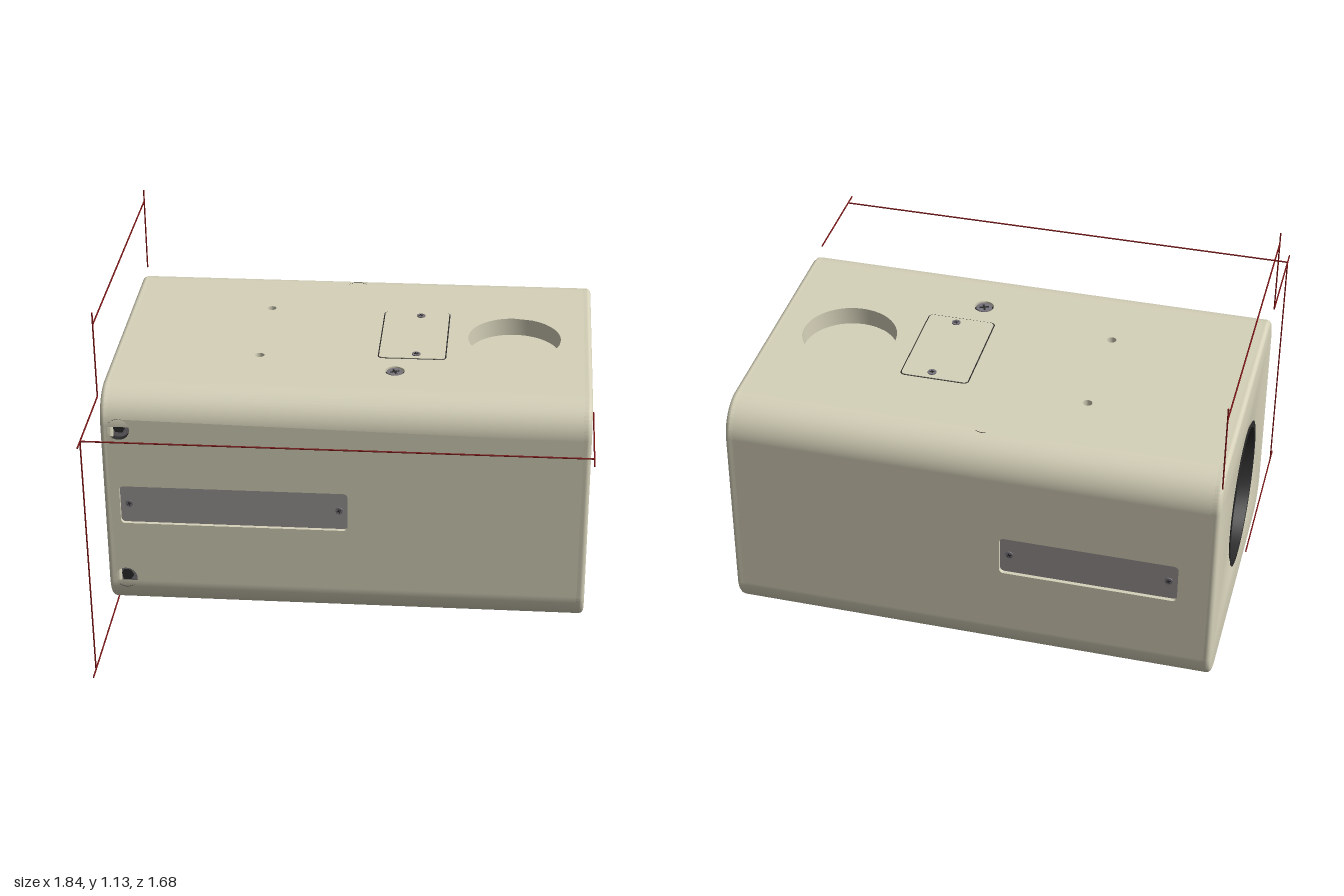
import * as THREE from 'three';
import { toCreasedNormals } from 'three/addons/utils/BufferGeometryUtils.js';

const HX = 0.775, HY = 0.395, HZ = 0.495, R = 0.11; // half sizes and edge radius
const mat = (color) => new THREE.MeshStandardMaterial({ color, side: THREE.DoubleSide });
const shell = mat(0xd6d2ba), cover = mat(0x9a9494), metal = mat(0x77737a);
const dark = mat(0x2b2b2b), glass = mat(0x8c8c8c), red = mat(0x7a1414);

function add(parent, name, geometry, material, x = 0, y = 0, z = 0) {
  const mesh = new THREE.Mesh(geometry, material);
  mesh.name = name;
  mesh.position.set(x, y, z);
  parent.add(mesh);
  return mesh;
}

function roundRect(w, h, r, cx = 0, cy = 0) {
  const s = new THREE.Shape(), a = w / 2 - r, b = h / 2 - r;
  s.absarc(cx + a, cy + b, r, 0, Math.PI / 2);
  s.absarc(cx - a, cy + b, r, Math.PI / 2, Math.PI);
  s.absarc(cx - a, cy - b, r, Math.PI, Math.PI * 1.5);
  s.absarc(cx + a, cy - b, r, Math.PI * 1.5, Math.PI * 2);
  s.closePath();
  return s;
}

function circle(r, cx, cy) {
  return new THREE.Shape().absarc(cx, cy, r, 0, Math.PI * 2);
}

// Recess: a wall following the outline, and a floor
function pocket(face, name, outline, depth, floorMat, wallMat = shell) {
  const pts = outline.getPoints(24), n = pts.length;
  const wall = new THREE.PlaneGeometry(1, 1, n, 1), p = wall.attributes.position;
  for (let i = 0; i <= n; i++) {
    const q = pts[i % n];
    p.setXYZ(i, q.x, q.y, 0);
    p.setXYZ(i + n + 1, q.x, q.y, -depth);
  }
  wall.computeVertexNormals();
  add(face, name + 'Wall', wall, wallMat);
  add(face, name + 'Floor', new THREE.ShapeGeometry(outline, 24), floorMat, 0, 0, -depth);
}

// Flat side of the shell in its own frame: z points outward
function makeFace(body, name, w, h, rotX, rotY, dist, pockets) {
  const face = new THREE.Group();
  face.name = name;
  face.rotation.set(rotX, rotY, 0);
  face.translateZ(dist);
  body.add(face);
  const sheet = new THREE.Shape([[-1, -1], [1, -1], [1, 1], [-1, 1]]
    .map(([x, y]) => new THREE.Vector2(x * w / 2, y * h / 2)));
  for (const [label, outline, depth, floorMat, wallMat] of pockets) {
    sheet.holes.push(outline);
    pocket(face, label, outline, depth, floorMat, wallMat);
  }
  add(face, name + 'Sheet', new THREE.ShapeGeometry(sheet, 24), shell);
  return face;
}

function screw(face, x, y, z, r) {
  const disc = new THREE.CylinderGeometry(r, r, 0.008, 20).rotateX(Math.PI / 2);
  add(face, 'screwHead', disc, metal, x, y, z);
  for (const a of [0, Math.PI / 2])
    add(face, 'screwSlot', new THREE.BoxGeometry(r * 1.2, r * 0.25, 0.002), dark, x, y, z + 0.004).rotation.z = a + 0.4;
}

// Small hatch with two screws, and a larger screw beyond each end
function hatch(face) {
  add(face, 'hatchSeam', new THREE.ShapeGeometry(roundRect(0.222, 0.352, 0.017, 0.194, 0)), dark, 0, 0, 0.001);
  add(face, 'hatchCover', new THREE.ExtrudeGeometry(roundRect(0.214, 0.344, 0.014, 0.194, 0),
    { depth: 0.003, bevelEnabled: false }), shell);
  for (const s of [-1, 1]) {
    screw(face, 0.207, s * 0.144, 0.002, 0.014);
    screw(face, 0.145, s * 0.263, -0.006, 0.026);
  }
}

function rod(parent, a, b) {
  const p = new THREE.Vector3(...a), q = new THREE.Vector3(...b);
  const m = add(parent, 'dimensionLine', new THREE.CylinderGeometry(0.0025, 0.0025, p.distanceTo(q), 6), red);
  m.position.copy(p).add(q).multiplyScalar(0.5);
  m.quaternion.setFromUnitVectors(new THREE.Vector3(0, 1, 0), q.sub(p).normalize());
}

export function createModel() {
  const model = new THREE.Group(), body = new THREE.Group();
  body.name = 'cameraHousing';
  body.position.set(0.125, 0.45, -0.235);
  body.rotation.set(0.006, -0.2545, 0.007, 'XZY');
  model.add(body);

  // Flat sides with their recesses
  const L = 2 * HX - 0.04, W = 2 * (HZ - R), H = 2 * (HY - R), Q = Math.PI / 2;
  const seats = [-1, 1].map((s) => ['screwSeat', circle(0.032, 0.145, s * 0.263), 0.012, dark]);
  const top = makeFace(body, 'top', L, W, -Q, 0, HY, [
    ['roundRecess', circle(0.152, 0.522, 0), 0.06, shell],
    ['bolt', circle(0.036, -0.022, 0.37), 0.015, metal, dark],
    ...[-1, 1].map((s) => ['smallHole', circle(0.015, -0.299, s * 0.178), 0.03, metal]),
    ...seats,
  ]);
  hatch(top);
  add(top, 'boltSocket', new THREE.CircleGeometry(0.022, 6), dark, -0.022, 0.37, -0.013);

  const front = makeFace(body, 'front', L, H, 0, 0, HZ, [
    ['sidePanel', roundRect(0.734, 0.136, 0.014, -0.357, 0), 0.012, cover],
    ...[-1, 1].map((s) => ['bolt', circle(0.036, -0.717, s * 0.274), 0.02, metal, dark]),
  ]);
  for (const s of [-1, 1]) {
    add(front, 'boltSocket', new THREE.CircleGeometry(0.022, 6), dark, -0.717, s * 0.274, -0.018);
    screw(front, -0.357 + s * 0.339, 0, -0.012, 0.012);
  }

  const back = makeFace(body, 'back', L, H, 0, Math.PI, HZ, [
    ['sidePanel', roundRect(0.56, 0.136, 0.014, 0.38, 0), 0.012, cover],
  ]);
  for (const s of [-1, 1]) screw(back, 0.38 + s * 0.25, 0, -0.012, 0.012);

  const bottom = makeFace(body, 'bottom', L, W, Q, 0, HY, seats);
  hatch(bottom);

  // Mounting plate under the body
  const plate = roundRect(0.766, 0.493, 0.006, -0.313, 0);
  for (const s of [-1, 1]) {
    plate.holes.push(circle(0.033, -0.25, s * 0.15));
    for (const x of [-0.03, -0.42, -0.58]) plate.holes.push(circle(0.011, x, s * 0.15));
  }
  plate.holes.push(circle(0.022, -0.36, 0));
  add(bottom, 'mountingPlate', new THREE.ExtrudeGeometry(plate, { depth: 0.05, bevelEnabled: false }), shell);

  // Rounded long edges
  [[1, 1], [1, -1], [-1, -1], [-1, 1]].forEach(([sy, sz], i) => {
    const edge = new THREE.CylinderGeometry(R, R, L, 14, 1, true, i * Q, Q).rotateZ(Q);
    add(body, 'roundedEdge', edge, shell, 0, sy * (HY - R), sz * (HZ - R));
  });

  // End caps with softened rims; the right one is open for the lens
  const B = 0.015;
  for (const s of [-1, 1]) {
    const end = new THREE.Group();
    end.name = s > 0 ? 'leftEnd' : 'lensEnd';
    end.position.x = s * HX;
    end.rotation.y = s * Q;
    body.add(end);
    const outline = roundRect(2 * (HZ - B), 2 * (HY - B), R - B);
    if (s < 0) outline.holes.push(circle(0.235, 0, 0));
    const cap = new THREE.ExtrudeGeometry(outline,
      { depth: 0.01, bevelSize: B, bevelThickness: B, bevelSegments: 3, curveSegments: 20 });
    add(end, 'endCap', toCreasedNormals(cap, 0.6), shell, 0, 0, -0.01 - B);
    if (s > 0) continue;
    // Stepped lens barrel and glass
    const profile = [[0.237, 0.003], [0.216, 0.003], [0.205, -0.035], [0.178, -0.04], [0.172, -0.08],
      [0.15, -0.08], [0.146, -0.035], [0.122, -0.035], [0.112, -0.065], [0.09, -0.07], [0.075, -0.1]]
      .map(([r, z]) => new THREE.Vector2(r, z));
    add(end, 'lensBarrel', toCreasedNormals(new THREE.LatheGeometry(profile, 48).rotateX(Q), 0.4), dark);
    const dome = new THREE.SphereGeometry(0.12, 32, 8, 0, Math.PI * 2, 0, 0.72).rotateX(Q);
    add(end, 'lensGlass', dome, glass, 0, 0, -0.188);
  }

  // Dimension lines for length, width and height
  const T = HY - 0.005, D = 0.79, base = -HY - 0.045;
  for (const s of [-1, 1]) {
    rod(body, [s * HX, T, HZ], [s * HX, T, 0.835]);
    rod(body, [-HX, T, s * HZ], [-HX, 0.68, s * HZ]);
  }
  rod(body, [-HX, T, D], [HX, T, D]);
  rod(body, [-HX, 0.64, -HZ], [-HX, 0.64, HZ]);
  rod(body, [-HX, base, D], [-HX, T, D]);
  rod(body, [-HX, base, 0.25], [-HX, base, 0.835]);
  return model;
}
